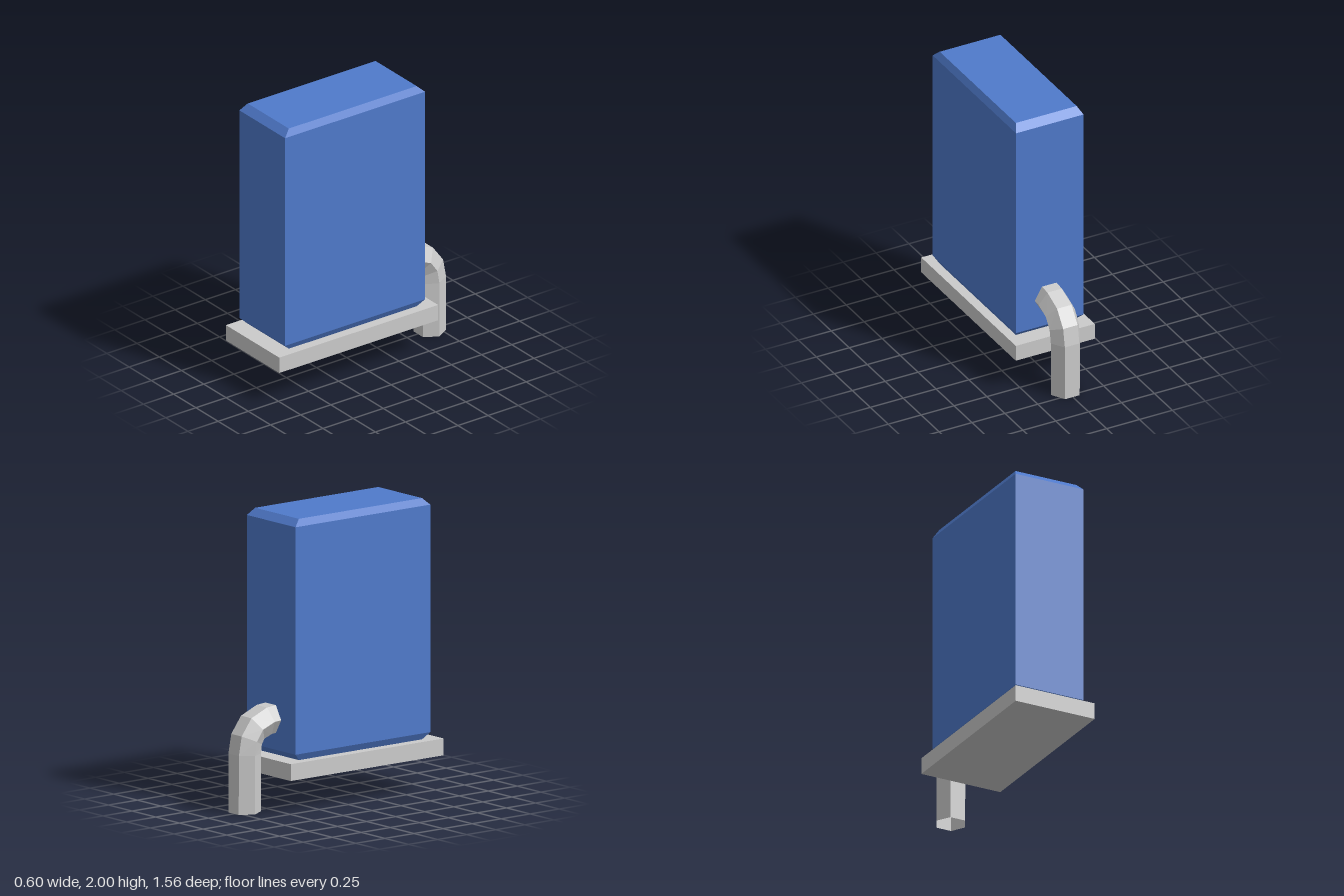
import * as THREE from 'three';

const BLUE = 0x4f7acb;
const GREY = 0xcccccc;

function material(color, side = THREE.FrontSide) {
  return new THREE.MeshStandardMaterial({ color, flatShading: true, side });
}

// Box whose top and bottom rims are chamfered by its two extra vertex rows
function chamferedBox(w, h, d, bevelX, bevelY, bevelZ) {
  const geometry = new THREE.BoxGeometry(w, h, d, 1, 3, 1);
  const p = geometry.attributes.position;
  for (let i = 0; i < p.count; i++) {
    const y = p.getY(i);
    if (Math.abs(y) > h * 0.4) {
      p.setX(i, p.getX(i) - Math.sign(p.getX(i)) * bevelX);
      p.setZ(i, p.getZ(i) - Math.sign(p.getZ(i)) * bevelZ);
    } else {
      p.setY(i, Math.sign(y) * (h / 2 - bevelY));
    }
  }
  geometry.computeVertexNormals();
  return geometry;
}

// Open pipe with a hexagonal section; each path entry is [z, y, turn in degrees]
function bentPipe(path, radius, sides = 6) {
  const positions = [];
  const index = [];
  path.forEach(([z, y, turn], i) => {
    const t = THREE.MathUtils.degToRad(turn);
    for (let j = 0; j < sides; j++) {
      const a = (j / sides) * Math.PI * 2;
      const out = radius * Math.sin(a);
      positions.push(radius * Math.cos(a), y + out * Math.cos(t), z - out * Math.sin(t));
      if (i === path.length - 1) continue;
      const k = (j + 1) % sides;
      const a0 = i * sides + j, a1 = i * sides + k;
      index.push(a0, a0 + sides, a1, a1, a0 + sides, a1 + sides);
    }
  });
  const geometry = new THREE.BufferGeometry();
  geometry.setAttribute('position', new THREE.Float32BufferAttribute(positions, 3));
  geometry.setIndex(index);
  geometry.computeVertexNormals();
  return geometry;
}

export function createModel() {
  const model = new THREE.Group();
  const add = (name, geometry, mat, x, y, z) => {
    const mesh = new THREE.Mesh(geometry, mat);
    mesh.name = name;
    mesh.position.set(x, y, z);
    model.add(mesh);
  };

  // Tall cabinet with chamfered top and bottom
  add('cabinet', chamferedBox(0.514, 1.645, 1.16, 0.026, 0.047, 0.05),
    material(BLUE), 0, 1.1775, 0.12);

  // Flat plinth under the cabinet
  add('basePlate', new THREE.BoxGeometry(0.6, 0.115, 1.316), material(GREY), 0, 0.2975, 0.122);

  // Pipe leaving the back and bending down to the ground
  const path = [
    [-0.42, 0.615, 0],
    [-0.515, 0.608, 13],
    [-0.615, 0.568, 36],
    [-0.668, 0.493, 66],
    [-0.684, 0.398, 88],
    [-0.685, 0, 90],
  ];
  add('drainPipe', bentPipe(path, 0.11), material(GREY, THREE.DoubleSide), 0.005, 0, 0);

  return model;
}
